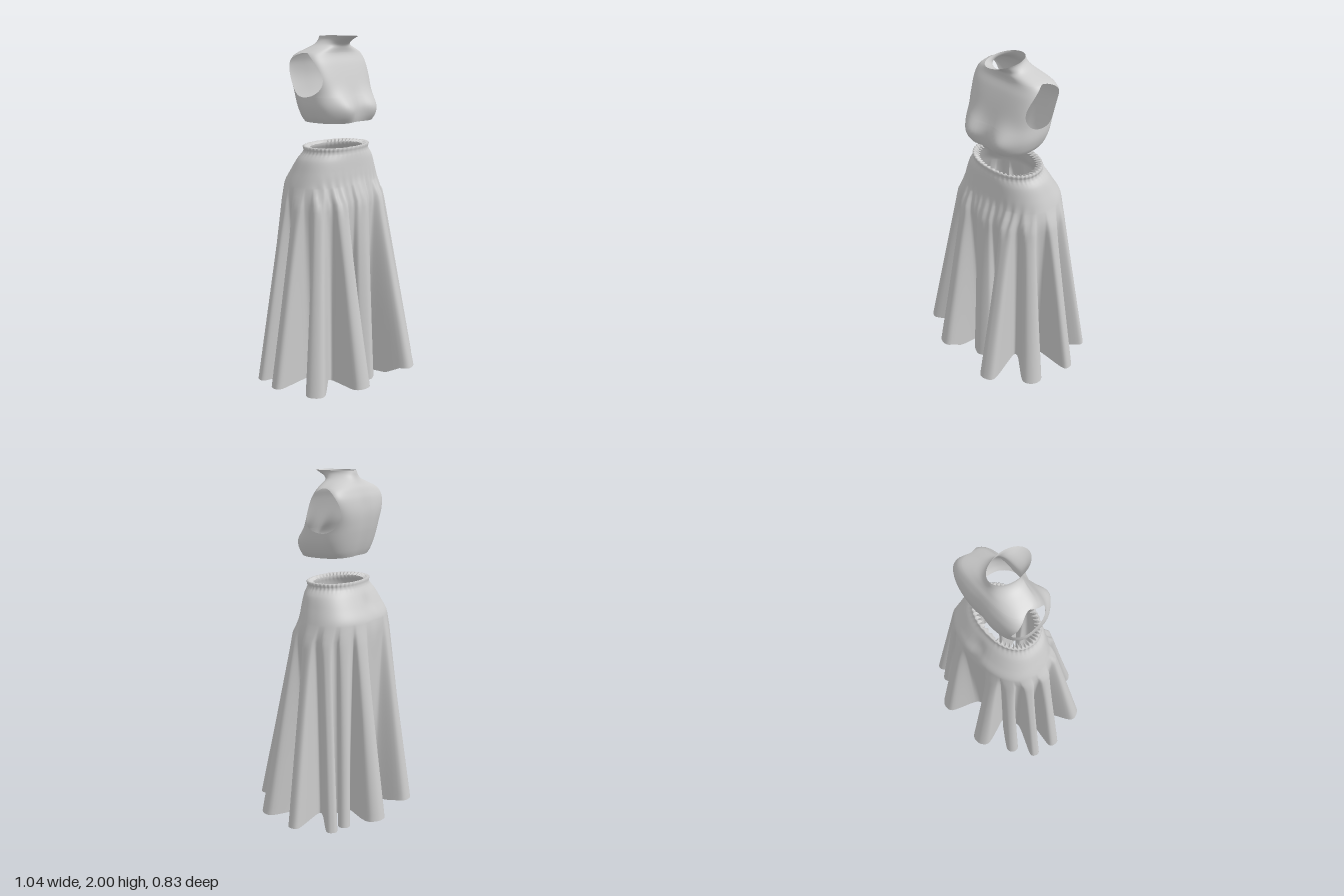
import * as THREE from 'three';
import { mergeVertices } from 'three/addons/utils/BufferGeometryUtils.js';

const { clamp, lerp, smoothstep } = THREE.MathUtils;
const cloth = new THREE.MeshStandardMaterial({ color: 0xcccccc, side: THREE.DoubleSide });
cloth.name = 'pale grey cloth';

const bump = (v, width) => Math.exp(-((v / width) ** 2));

// Smooth interpolation of table rows [y, ...values], sorted by rising y
function sample(table, y) {
  const n = table.length - 1;
  const yc = clamp(y, table[0][0], table[n][0]);
  let i = 0;
  while (i < n - 1 && yc > table[i + 1][0]) i++;
  const a = table[i], b = table[i + 1], p = table[Math.max(i - 1, 0)], q = table[Math.min(i + 2, n)];
  const h = b[0] - a[0], s = (yc - a[0]) / h;
  return a.slice(1).map((v, k) => {
    const c = k + 1;
    const m0 = (b[c] - p[c]) / (b[0] - p[0]) * h, m1 = (q[c] - a[c]) / (q[0] - a[0]) * h;
    const s2 = s * s, s3 = s2 * s;
    return (2 * s3 - 3 * s2 + 1) * v + (s3 - 2 * s2 + s) * m0 + (3 * s2 - 2 * s3) * b[c] + (s3 - s2) * m1;
  });
}

// Rounded-box cross-section; angle 0 faces the front and turns towards +x
function ring([rx, zf, zb, n], a) {
  const pw = (v) => Math.sign(v) * Math.pow(Math.abs(v), 2 / n);
  return [rx * pw(Math.sin(a)), (zf + zb) / 2 + (zf - zb) / 2 * pw(Math.cos(a))];
}

// Grid of points, rows from top to bottom, columns running left to right seen from outside
function addGrid(pos, cols, rows, point) {
  const g = [];
  for (let j = 0; j <= rows; j++) for (let i = 0; i <= cols; i++) g.push(point(i, j));
  for (let j = 0; j < rows; j++) for (let i = 0; i < cols; i++) {
    const a = j * (cols + 1) + i, c = a + cols + 1;
    for (const k of [a, c, a + 1, a + 1, c, c + 1]) pos.push(...g[k]);
  }
}

function clothMesh(pos, name) {
  let geo = new THREE.BufferGeometry();
  geo.setAttribute('position', new THREE.Float32BufferAttribute(pos, 3));
  geo = mergeVertices(geo, 1e-5);
  geo.computeVertexNormals();
  const mesh = new THREE.Mesh(geo, cloth);
  mesh.name = name;
  return mesh;
}

// Sleeveless cropped top with flared collar
function makeBodice() {
  // y, half width, front z, back z, squareness
  const table = [
    [1.53, 0.197, 0.148, -0.135, 2.8], [1.56, 0.215, 0.152, -0.148, 2.9], [1.62, 0.231, 0.15, -0.166, 3],
    [1.7, 0.23, 0.125, -0.183, 3.3], [1.78, 0.231, 0.097, -0.19, 3.8], [1.85, 0.229, 0.068, -0.18, 3.9],
    [1.89, 0.222, 0.047, -0.163, 3.5], [1.91, 0.204, 0.042, -0.152, 3], [1.93, 0.16, 0.045, -0.138, 2.5],
    [1.95, 0.113, 0.053, -0.127, 2.1], [1.968, 0.089, 0.077, -0.12, 2], [1.985, 0.079, 0.112, -0.116, 2],
    [1.998, 0.08, 0.138, -0.112, 2]];
  const holeY = 1.79, holeH = 0.12, holeZ = -0.047, holeW = 0.112;
  const ys = [];
  for (let i = 0; i < 14; i++) ys.push(1.998 - 0.088 * i / 14);
  for (let i = 0; i < 24; i++) ys.push(holeY + holeH * Math.cos(Math.PI * i / 24));
  for (let i = 0; i <= 12; i++) ys.push(1.67 - 0.14 * i / 12);

  // Angle at which the section passes a given z on the +x side
  const angleAt = (r, z) => {
    const d = clamp((z - (r[1] + r[2]) / 2) / ((r[1] - r[2]) / 2), -0.97, 0.97);
    return Math.acos(Math.sign(d) * Math.pow(Math.abs(d), r[3] / 2));
  };
  const pos = [], cols = 48;
  for (const front of [true, false]) {
    addGrid(pos, cols, ys.length - 1, (i, j) => {
      const y = ys[j], r = sample(table, y), v = (y - holeY) / holeH;
      // Egg-shaped armhole, its front edge leaning back towards the shoulder
      const open = holeW * Math.sqrt(Math.max(0, 1 - v * v));
      const edge = angleAt(r, holeZ + (front ? open * (1 - 0.4 * v) : -open));
      const u = i / cols;
      const a = front ? (2 * u - 1) * edge : edge + u * 2 * (Math.PI - edge);
      let [x, z] = ring(r, a);
      // Broader shoulder blades
      x *= 1 + 0.11 * smoothstep(-z, 0.02, 0.16) * bump(y - 1.86, 0.09);
      // Bust, and the shallow hollow of the spine
      z += 0.046 * smoothstep(Math.cos(a), 0, 0.5) * bump(Math.abs(x) - 0.11, 0.075) * bump(y - 1.6, 0.08);
      z += 0.008 * smoothstep(-Math.cos(a), 0, 0.5) * bump(x, 0.04) * (1 - smoothstep(y, 1.8, 1.92));
      return [x, y, z];
    });
  }
  return clothMesh(pos, 'bodice');
}

// Long skirt: smooth yoke opening into deep folds
function makeSkirt() {
  const yoke = [
    [1.08, 0.333, 0.2, -0.26, 2.2], [1.13, 0.322, 0.182, -0.257, 2.3], [1.19, 0.303, 0.165, -0.247, 2.4],
    [1.25, 0.28, 0.157, -0.215, 2.4], [1.32, 0.25, 0.15, -0.178, 2.3], [1.35, 0.226, 0.145, -0.16, 2.2],
    [1.365, 0.215, 0.141, -0.153, 2.2], [1.385, 0.222, 0.146, -0.155, 2.2]];
  // Hem folds, anticlockwise from the front: tip x, tip z, half width, root x, root z
  const folds = [
    [0, 0.255, 0.07, 0, 0.15], [0.21, 0.402, 0.052, 0.14, 0.15], [0.435, 0.225, 0.06, 0.25, 0.09],
    [0.505, -0.025, 0.036, 0.29, -0.02], [0.43, -0.24, 0.032, 0.28, -0.11], [0.345, -0.265, 0.034, 0.21, -0.18],
    [0.185, -0.395, 0.06, 0.1, -0.2], [-0.168, -0.397, 0.06, -0.11, -0.2], [-0.36, -0.265, 0.038, -0.21, -0.18],
    [-0.478, -0.17, 0.032, -0.28, -0.1], [-0.507, -0.025, 0.038, -0.29, -0.01], [-0.45, 0.225, 0.055, -0.25, 0.09],
    [-0.2, 0.373, 0.053, -0.14, 0.15]];
  const hem = [], angles = [];
  folds.forEach(([tx, tz, w, rx, rz], f) => {
    const dir = new THREE.Vector2(tx - rx, tz - rz);
    const L = dir.length();
    dir.normalize();
    let a = Math.atan2(rx / 0.33, (rz + 0.03) / 0.23);
    if (f > 0 && a <= 0) a += 2 * Math.PI;
    // Distance along the fold, sideways offset and valley weight of its five corners
    [[0, -0.85, 1], [L - w * 0.4, -1, 0], [L + 0.015, 0, 0], [L - w * 0.4, 1, 0], [0, 0.85, 1]].forEach(([d, s, v], k) => {
      hem.push(new THREE.Vector3(rx + dir.x * d + dir.y * w * s, v, rz + dir.y * d - dir.x * w * s));
      angles.push(a + (k - 2) * 0.085);
    });
  });
  angles.push(angles[0] + 2 * Math.PI);
  const curve = new THREE.CatmullRomCurve3(hem, true, 'catmullrom', 0.4);
  const per = 6, cols = hem.length * per, columns = [];
  for (let i = 0; i <= cols; i++) {
    const k = Math.min(Math.floor(i / per), hem.length - 1);
    columns.push({ p: curve.getPoint((i % cols) / cols), a: lerp(angles[k], angles[k + 1], i / per - k) });
  }
  // Rows as [y, how far the gathered lip turns inwards]
  const rows = [[1.378, 1], [1.388, 0.6], [1.392, 0.25]];
  for (let j = 0; j < 18; j++) rows.push([1.387 - 0.217 * j / 18, 0]);
  for (let j = 0; j <= 28; j++) rows.push([1.17 - 1.13 * j / 28, 0]);

  const pos = [];
  addGrid(pos, cols, rows.length - 1, (i, j) => {
    const { p, a } = columns[i], [y, lip] = rows[j];
    let [x, z] = ring(sample(yoke, y), a);
    // Elastic waist, gathered towards its inner lip
    const gather = 1 - 0.15 * lip + (0.008 * smoothstep(y, 1.335, 1.375) + 0.055 * lip) * Math.cos(44 * a);
    x *= gather;
    z *= gather;
    const front = smoothstep(z, 0.02, 0.12);
    // Small puckers below the front yoke, and the cleft at the centre back
    z += 0.006 * front * Math.cos(x * 130) * bump(y - 1.12, 0.07);
    if (z < 0) z += 0.014 * bump(x, 0.035) * smoothstep(y, 1.05, 1.2) * (1 - smoothstep(y, 1.25, 1.34));
    // Folds start highest at the centre front and deepen to the hem, valleys faster than ridges
    const start = 1.16 + 0.07 * front * bump(x, 0.12);
    const t = Math.max(0, (start - y) / (start - 0.04));
    const s = Math.pow(t, 1 - 0.28 * clamp(p.y, 0, 1)) * smoothstep(t, -0.02, 0.06);
    x += (p.x - x) * s;
    z += (p.z - z) * s;
    // Hem dips at the centre front and lifts on the outermost folds
    const dip = z > 0 ? 0.038 * Math.exp(-((x / 0.21) ** 8)) * (1 - smoothstep(z, 0.28, 0.37)) : 0;
    const lift = 0.012 * smoothstep(Math.abs(z), 0.28, 0.4);
    return [x, y + (lift - dip) * t * t, z];
  });
  return clothMesh(pos, 'skirt');
}

export function createModel() {
  const group = new THREE.Group();
  group.name = 'dress';
  group.add(makeBodice(), makeSkirt());
  return group;
}
